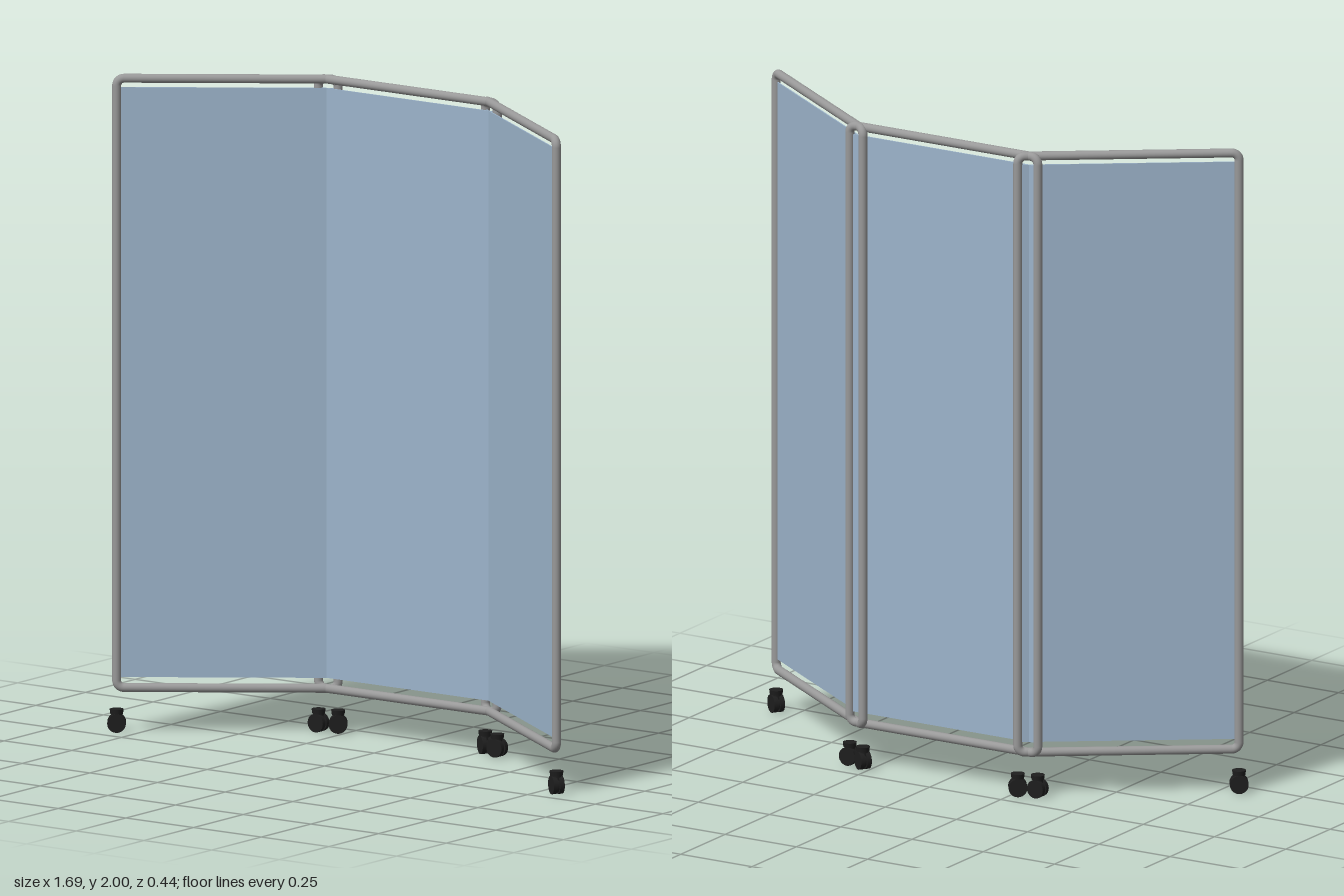
import * as THREE from 'three';

const W = 0.33;            // half distance between the two posts
const Y0 = 0.138, Y1 = 1.987; // centre lines of the bottom and top rails
const R = 0.0135;          // tube radius
const BEND = 0.022;        // corner bend radius

export function createModel() {
  const metal = new THREE.MeshStandardMaterial({ color: 0x999999 });
  metal.name = 'greyMetal';
  const fabric = new THREE.MeshStandardMaterial({ color: 0x9cb4cb });
  fabric.name = 'blueFabric';
  const rubber = new THREE.MeshStandardMaterial({ color: 0x1e1e1e });
  rubber.name = 'blackPlastic';

  function add(parent, name, geometry, material, x = 0, y = 0, z = 0) {
    const mesh = new THREE.Mesh(geometry, material);
    mesh.name = name;
    mesh.position.set(x, y, z);
    parent.add(mesh);
    return mesh;
  }

  // Bent tube frame: straight runs joined by quarter bends
  function makeFrame() {
    const frame = new THREE.Group();
    frame.name = 'frame';
    const post = new THREE.CylinderGeometry(R, R, Y1 - Y0 - 2 * BEND, 20, 1, true);
    const rail = new THREE.CylinderGeometry(R, R, 2 * (W - BEND), 20, 1, true).rotateZ(Math.PI / 2);
    const bend = new THREE.TorusGeometry(BEND, R, 20, 8, Math.PI / 2);
    for (const s of [-1, 1]) add(frame, 'post', post, metal, s * W, (Y0 + Y1) / 2);
    for (const y of [Y0, Y1]) add(frame, 'rail', rail, metal, 0, y);
    [[1, 1], [-1, 1], [-1, -1], [1, -1]].forEach(([sx, sy], i) => {
      const y = sy > 0 ? Y1 - BEND : Y0 + BEND;
      add(frame, 'cornerBend', bend, metal, sx * (W - BEND), y).rotation.z = i * Math.PI / 2;
    });
    return frame;
  }

  // Twin-wheel caster with hub, neck and mounting cap
  function makeCaster(x) {
    const caster = new THREE.Group();
    caster.name = 'caster';
    caster.position.x = x;
    const wheel = new THREE.CylinderGeometry(0.028, 0.028, 0.014, 24).rotateX(Math.PI / 2);
    const hub = new THREE.CylinderGeometry(0.022, 0.022, 0.01, 20).rotateX(Math.PI / 2);
    for (const s of [-1, 1]) add(caster, 'wheel', wheel, rubber, 0, 0.031, s * 0.01);
    add(caster, 'hub', hub, rubber, 0, 0.031);
    add(caster, 'neck', new THREE.CylinderGeometry(0.016, 0.016, 0.02, 20), rubber, 0, 0.055);
    add(caster, 'cap', new THREE.CylinderGeometry(0.021, 0.019, 0.014, 20), rubber, 0, 0.066);
    return caster;
  }

  // One screen section
  function makePanel(name, x, z, angle) {
    const panel = new THREE.Group();
    panel.name = name;
    panel.add(makeFrame());
    add(panel, 'fabricSheet', new THREE.BoxGeometry(2 * (W - R) + 0.004, 1.79, 0.004), fabric, 0, 1.065);
    for (const s of [-1, 1]) panel.add(makeCaster(s * W));
    panel.position.set(x, 0, z);
    panel.rotation.y = angle;
    return panel;
  }

  const model = new THREE.Group();
  model.name = 'foldingScreen';
  const fold = THREE.MathUtils.degToRad(35);
  model.add(makePanel('centrePanel', 0, -0.17, 0));
  model.add(makePanel('leftPanel', 0.542, 0, -fold));
  model.add(makePanel('rightPanel', -0.542, 0, fold));
  return model;
}
